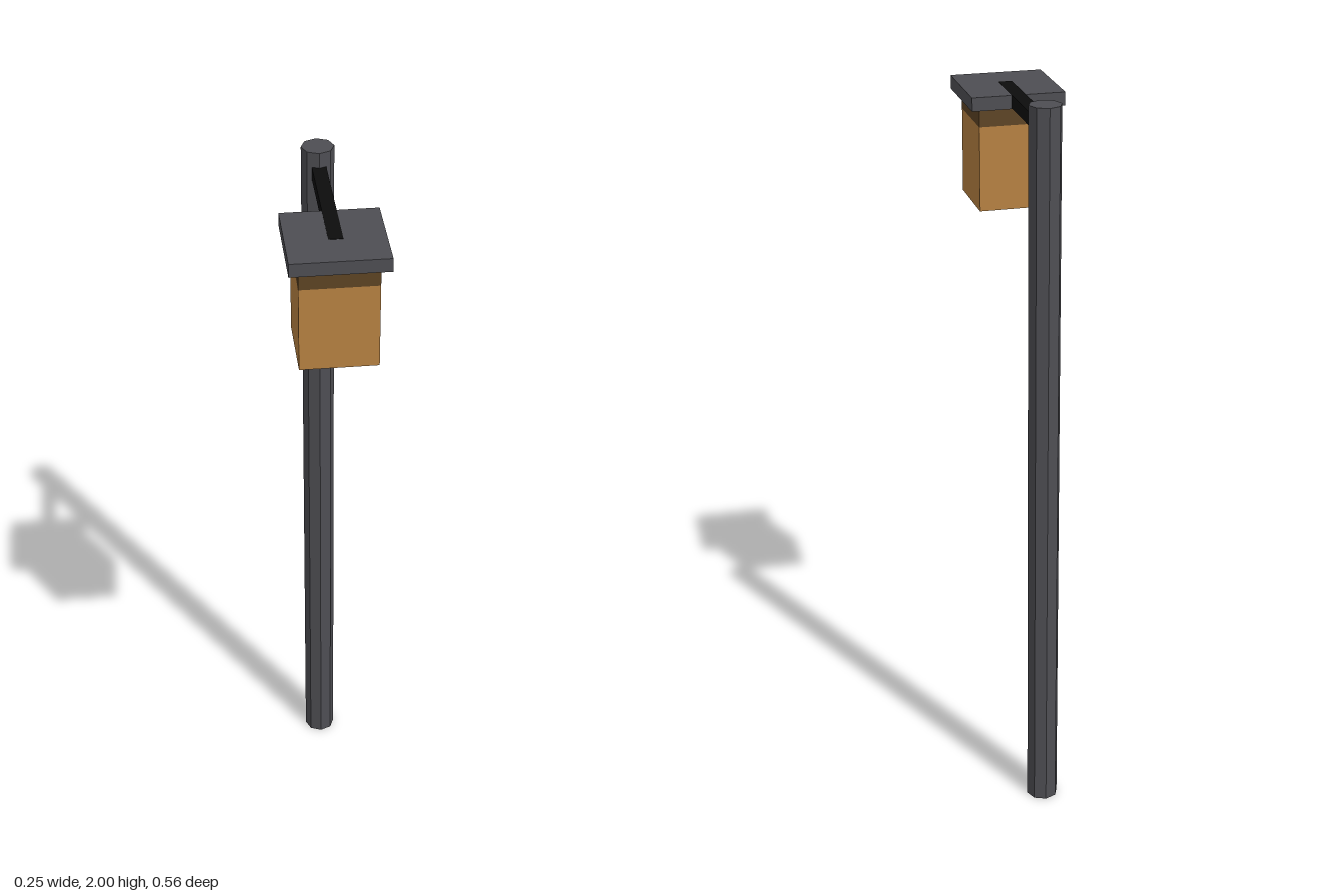
import * as THREE from 'three';

const material = (name, color) => {
  const m = new THREE.MeshStandardMaterial({ color, flatShading: true });
  m.name = name;
  return m;
};

export function createModel() {
  const model = new THREE.Group();
  model.name = 'streetLamp';

  const iron = material('dark grey iron', 0x4e4e53);
  const black = material('black', 0x0d0d0d);
  const amber = material('amber glass', 0xb88242);
  const brown = material('dark brown', 0x5e4424);

  const add = (name, geometry, mat, y, z) => {
    const mesh = new THREE.Mesh(geometry, mat);
    mesh.name = name;
    mesh.position.set(0, y, z);
    model.add(mesh);
  };
  // Box given by width, height range and depth range
  const box = (name, w, y0, y1, z0, z1, mat) =>
    add(name, new THREE.BoxGeometry(w, y1 - y0, z1 - z0), mat, (y0 + y1) / 2, (z0 + z1) / 2);

  // Octagonal post
  add('post', new THREE.CylinderGeometry(0.043, 0.043, 2, 8), iron, 1, -0.235);

  // Arm reaching forward, its top just proud of the cap
  box('arm', 0.037, 1.924, 1.959, -0.235, 0.171, black);

  // Lantern: cap, collar and glass
  box('lanternCap', 0.25, 1.922, 1.958, 0.027, 0.277, iron);
  box('lanternCollar', 0.2, 1.872, 1.922, 0.054, 0.254, brown);
  box('lanternGlass', 0.2, 1.645, 1.872, 0.054, 0.254, amber);

  return model;
}
